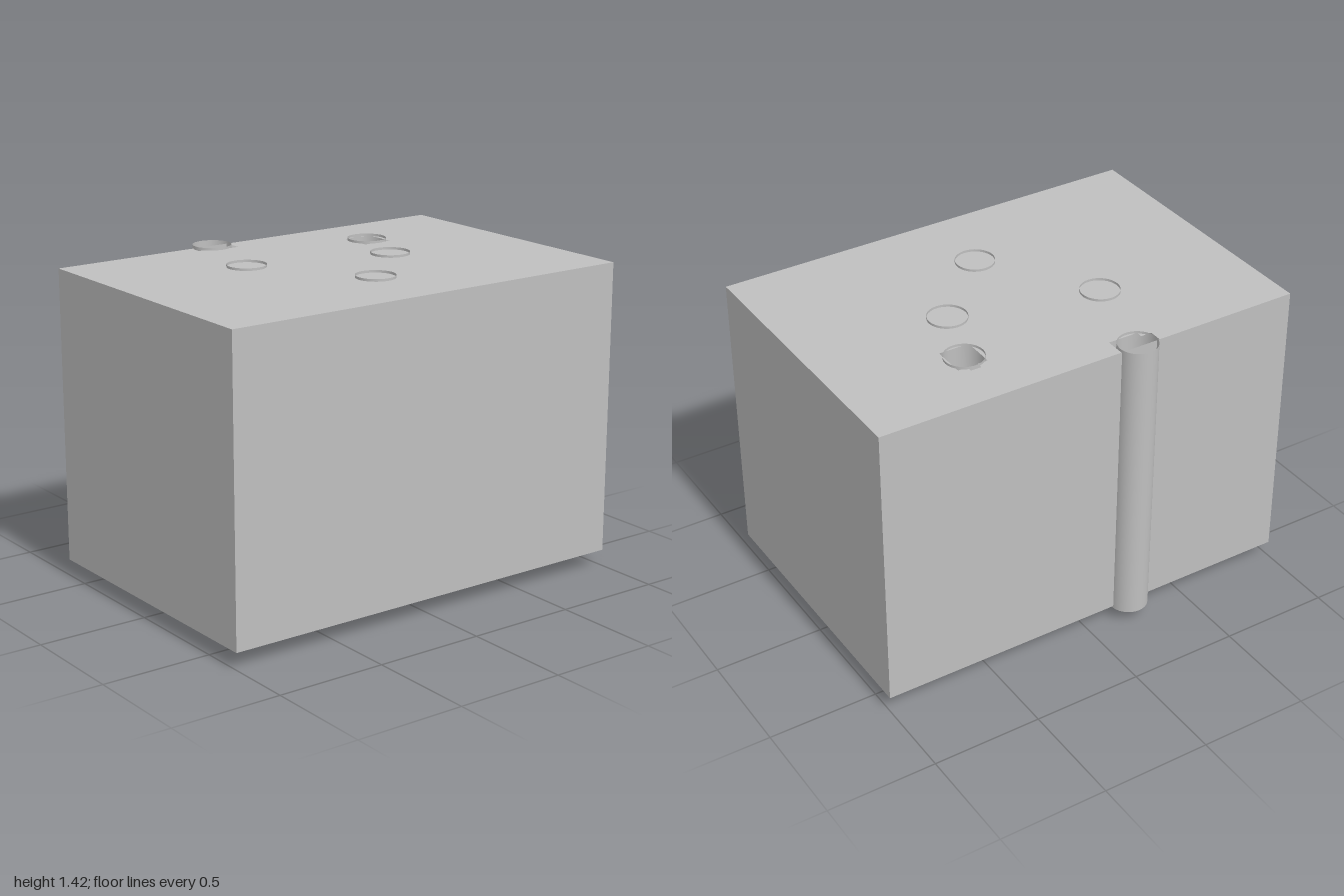
import * as THREE from 'three';

const X0 = -0.63, X1 = 0.70, Y0 = 0.075, Y1 = 1.405, Z = 1;
const TOP = 1.416, RADIUS = 0.088;

export function createModel() {
  const grey = new THREE.MeshStandardMaterial({ color: 0xbfbfbf, side: THREE.DoubleSide });
  grey.name = 'plain grey';
  const model = new THREE.Group();
  model.name = 'pinnedBlock';

  const add = (name, geometry, x = 0, y = 0, z = 0) => {
    const mesh = new THREE.Mesh(geometry, grey);
    mesh.name = name;
    mesh.position.set(x, y, z);
    model.add(mesh);
    return mesh;
  };

  // Flat horizontal panel from [x, z] corners; up = 1 faces up, -1 faces down
  const panel = (name, outline, holes, y, up) => {
    const pts = (list) => list.map(([x, z]) => new THREE.Vector2(x, -up * z));
    const shape = new THREE.Shape(pts(outline));
    for (const hole of holes) shape.holes.push(new THREE.Path(pts(hole)));
    add(name, new THREE.ShapeGeometry(shape).rotateX(-up * Math.PI / 2), 0, y, 0);
  };

  // Square opening with a small notch towards -x
  const opening = (x, z) => [
    [-0.07, -0.07], [0.08, -0.07], [0.08, 0.07], [-0.07, 0.07],
    [-0.07, 0.022], [-0.098, 0.022], [-0.098, -0.027], [-0.07, -0.027],
  ].map(([dx, dz]) => [x + dx, z + dz]);

  const pins = [[-0.18, 0.33], [0.315, 0.01], [-0.02, -0.33]];
  const sleeves = [[-0.617, 0.22], [-0.32, -0.43]];

  // Block: top with a stepped cut-out at the edge, bottom and four walls
  panel('blockTop', [
    [X0, -Z], [X1, -Z], [X1, Z], [X0, Z],
    [X0, 0.32], [-0.57, 0.32], [-0.57, 0.27], [-0.54, 0.27], [-0.54, 0.13], [X0, 0.13],
  ], [opening(...sleeves[1])], Y1, 1);
  panel('blockBottom', [[X0, -Z], [X1, -Z], [X1, Z], [X0, Z]],
    pins.map((p) => opening(...p)), Y0, -1);

  const midX = (X0 + X1) / 2, midY = (Y0 + Y1) / 2;
  const walls = [
    ['frontWall', X1 - X0, midX, Z, 0],
    ['backWall', X1 - X0, midX, -Z, Math.PI],
    ['leftWall', 2 * Z, X1, 0, Math.PI / 2],
    ['rightWall', 2 * Z, X0, 0, -Math.PI / 2],
  ];
  for (const [name, width, x, z, turn] of walls) {
    add(name, new THREE.PlaneGeometry(width, Y1 - Y0), x, midY, z).rotation.y = turn;
  }

  // Thin-walled tubes running through the block
  const tube = (name, x, z, bottom) =>
    add(name, new THREE.CylinderGeometry(RADIUS, RADIUS, TOP - bottom, 48, 1, true),
      x, (TOP + bottom) / 2, z);

  // Open sleeves
  for (const [x, z] of sleeves) tube('sleeve', x, z, 0.065);

  // Pins with a closed foot
  for (const [x, z] of pins) {
    tube('pin', x, z, 0);
    add('pinFoot', new THREE.CircleGeometry(RADIUS, 48).rotateX(Math.PI / 2), x, 0, z);
  }

  return model;
}
